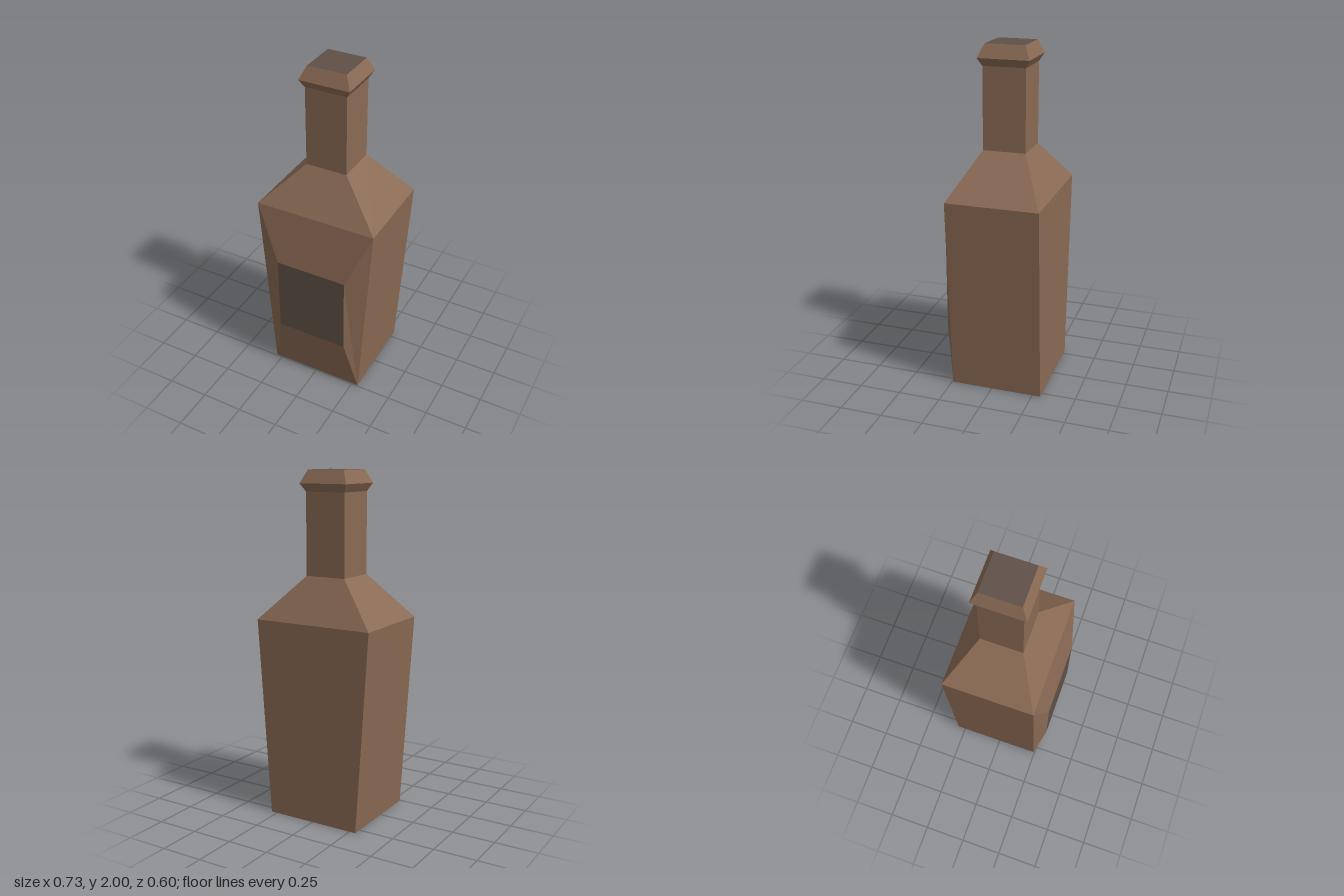
import * as THREE from 'three';

// A rectangular ring at height y: half width, back z, front z.
// Corners run front-right, front-left, back-left, back-right (seen from above: counter-clockwise).
const ring = (y, hx, back, front) => [
  [-hx, y, front], [hx, y, front], [hx, y, back], [-hx, y, back],
];

// Mesh of separate flat quads, each listed counter-clockwise from outside.
function quadMesh(name, quads, material) {
  const points = [];
  for (const [a, b, c, d] of quads) points.push(...a, ...b, ...c, ...a, ...c, ...d);
  const geometry = new THREE.BufferGeometry();
  geometry.setAttribute('position', new THREE.Float32BufferAttribute(points, 3));
  geometry.computeVertexNormals();
  const mesh = new THREE.Mesh(geometry, material);
  mesh.name = name;
  return mesh;
}

// Quads joining two rings, starting at a given side (0 is the front).
function band(low, high, first = 0) {
  const quads = [];
  for (let i = first; i < 4; i++) {
    const j = (i + 1) % 4;
    quads.push([low[i], low[j], high[j], high[i]]);
  }
  return quads;
}

export function createModel() {
  const glass = new THREE.MeshStandardMaterial({ color: 0x8a6a54, flatShading: true });
  glass.name = 'brown glass';
  const dark = new THREE.MeshStandardMaterial({ color: 0x5f5047, flatShading: true });
  dark.name = 'dark label';

  const base = ring(0, 0.288, -0.298, 0.243);
  const shoulder = ring(1.16, 0.364, -0.298, 0.243);
  const neckBottom = ring(1.41, 0.124, -0.149, 0.098);
  const neckTop = ring(1.88, 0.124, -0.149, 0.098);
  const lip = ring(1.925, 0.15, -0.175, 0.121);
  const rim = ring(2, 0.115, -0.141, 0.086);

  // Raised label panel
  const z = 0.298;
  const label = [[-0.216, 0.342, z], [0.216, 0.342, z], [0.216, 0.82, z], [-0.216, 0.82, z]];

  // Front corners of the body, in the same order as the label corners
  const face = [base[0], base[1], shoulder[1], shoulder[0]];

  const group = new THREE.Group();
  group.name = 'bottle';
  group.add(
    quadMesh('body', [...band(base, shoulder, 1), [...base].reverse()], glass),
    quadMesh('frontBevels', band(face, label), glass),
    quadMesh('label', [label], dark),
    quadMesh('shoulders', band(shoulder, neckBottom), glass),
    quadMesh('neck', band(neckBottom, neckTop), glass),
    quadMesh('lip', [...band(neckTop, lip), ...band(lip, rim)], glass),
    quadMesh('mouth', [rim], dark),
  );
  return group;
}
